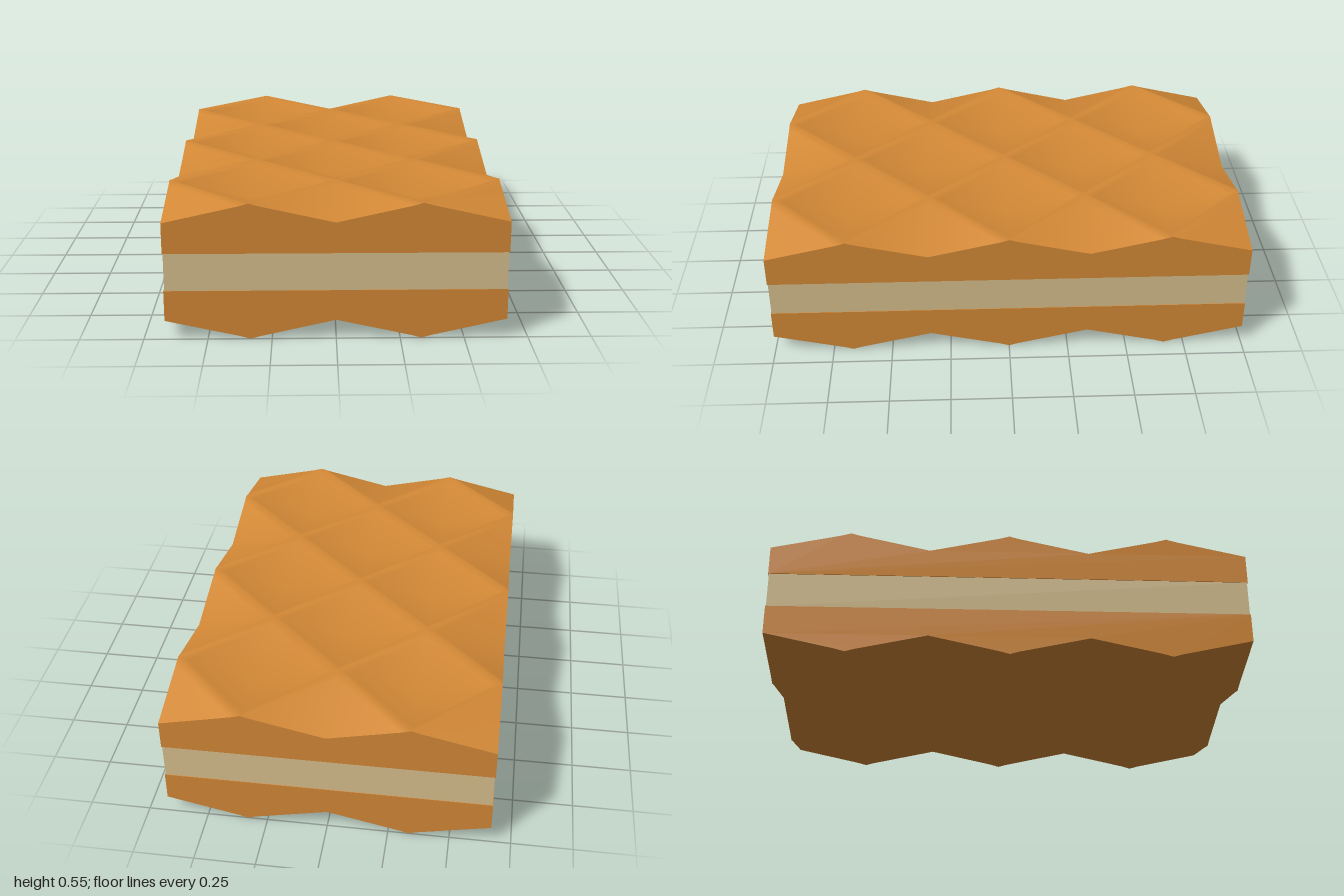
import * as THREE from 'three';
import { mergeVertices } from 'three/addons/utils/BufferGeometryUtils.js';

const U = 1 / 3;            // half diagonal of one waffle cell
const NX = 2, NZ = 3;       // half width and half depth, in cells
const THICK = 0.2;          // wafer thickness at the ridges
const FILL = 0.151;         // filling thickness
const DIP = 0.077;          // depth of each pit
const RIM = 0.12, RIM_DIP = 0.0115; // narrow shoulder beside each ridge

// Field of diamond pits between diagonal ridges, trimmed to the rectangle
function waffleSurface() {
  const pos = [];
  const dirs = [[0, 1], [1, 0], [0, -1], [-1, 0]];
  const inside = (x, z) => Math.abs(x) <= NX && Math.abs(z) <= NZ;
  for (let i = -NX; i <= NX; i++) for (let j = -NZ; j <= NZ; j++) {
    if ((i + j) % 2 === 0) continue; // even nodes are ridge crossings
    const at = (d, s, dip) => [(i + d[0] * s) * U, THICK - dip, (j + d[1] * s) * U];
    dirs.forEach((a, k) => {
      const b = dirs[(k + 1) % 4];
      if (!inside(i + a[0], j + a[1]) || !inside(i + b[0], j + b[1])) return;
      const c = at(a, 0, DIP);
      const ra = at(a, 1 - RIM, RIM_DIP), rb = at(b, 1 - RIM, RIM_DIP);
      const pa = at(a, 1, 0), pb = at(b, 1, 0);
      pos.push(...c, ...ra, ...rb, ...ra, ...pa, ...pb, ...ra, ...pb, ...rb);
    });
  }
  let g = new THREE.BufferGeometry();
  g.setAttribute('position', new THREE.Float32BufferAttribute(pos, 3));
  g = mergeVertices(g, 1e-4);
  g.computeVertexNormals();
  return g;
}

// Upright edge face whose top follows the ridges and pits
function edgeWall(n) {
  const s = new THREE.Shape();
  s.moveTo(-n * U, 0);
  s.lineTo(n * U, 0);
  for (let k = n; k >= -n; k--) {
    const peak = (n - k) % 2 === 1;
    if (peak) {
      s.lineTo((k + RIM) * U, THICK - RIM_DIP);
      s.lineTo(k * U, THICK);
      s.lineTo((k - RIM) * U, THICK - RIM_DIP);
    } else s.lineTo(k * U, THICK - DIP);
  }
  return new THREE.ShapeGeometry(s);
}

function makeWafer(name, material) {
  const wafer = new THREE.Group();
  wafer.name = name;
  const add = (part, geo) => {
    const m = new THREE.Mesh(geo, material);
    m.name = part;
    wafer.add(m);
    return m;
  };
  add('waffleSurface', waffleSurface());
  // four edge walls
  for (let k = 0; k < 4; k++) {
    const side = k % 2 === 1;
    const g = edgeWall(side ? NZ : NX);
    g.translate(0, 0, (side ? NX : NZ) * U);
    g.rotateY(k * Math.PI / 2);
    add('edgeWall', g);
  }
  // flat inner face against the filling
  add('innerFace', new THREE.PlaneGeometry(2 * NX * U, 2 * NZ * U).rotateX(Math.PI / 2));
  return wafer;
}

export function createModel() {
  const waferMat = new THREE.MeshStandardMaterial({ color: 0xd48936 });
  waferMat.name = 'golden wafer';
  const creamMat = new THREE.MeshStandardMaterial({ color: 0xd8c08f });
  creamMat.name = 'cream filling';

  const model = new THREE.Group();
  model.name = 'waferSandwich';

  const top = makeWafer('topWafer', waferMat);
  top.position.y = THICK + FILL;
  const bottom = makeWafer('bottomWafer', waferMat);
  bottom.rotation.z = Math.PI;
  bottom.position.y = THICK;

  // filling, very slightly inset from the wafers
  const filling = new THREE.Mesh(
    new THREE.BoxGeometry(2 * NX * U - 0.006, FILL, 2 * NZ * U - 0.006), creamMat);
  filling.name = 'filling';
  filling.position.y = THICK + FILL / 2;

  model.add(top, filling, bottom);
  return model;
}
